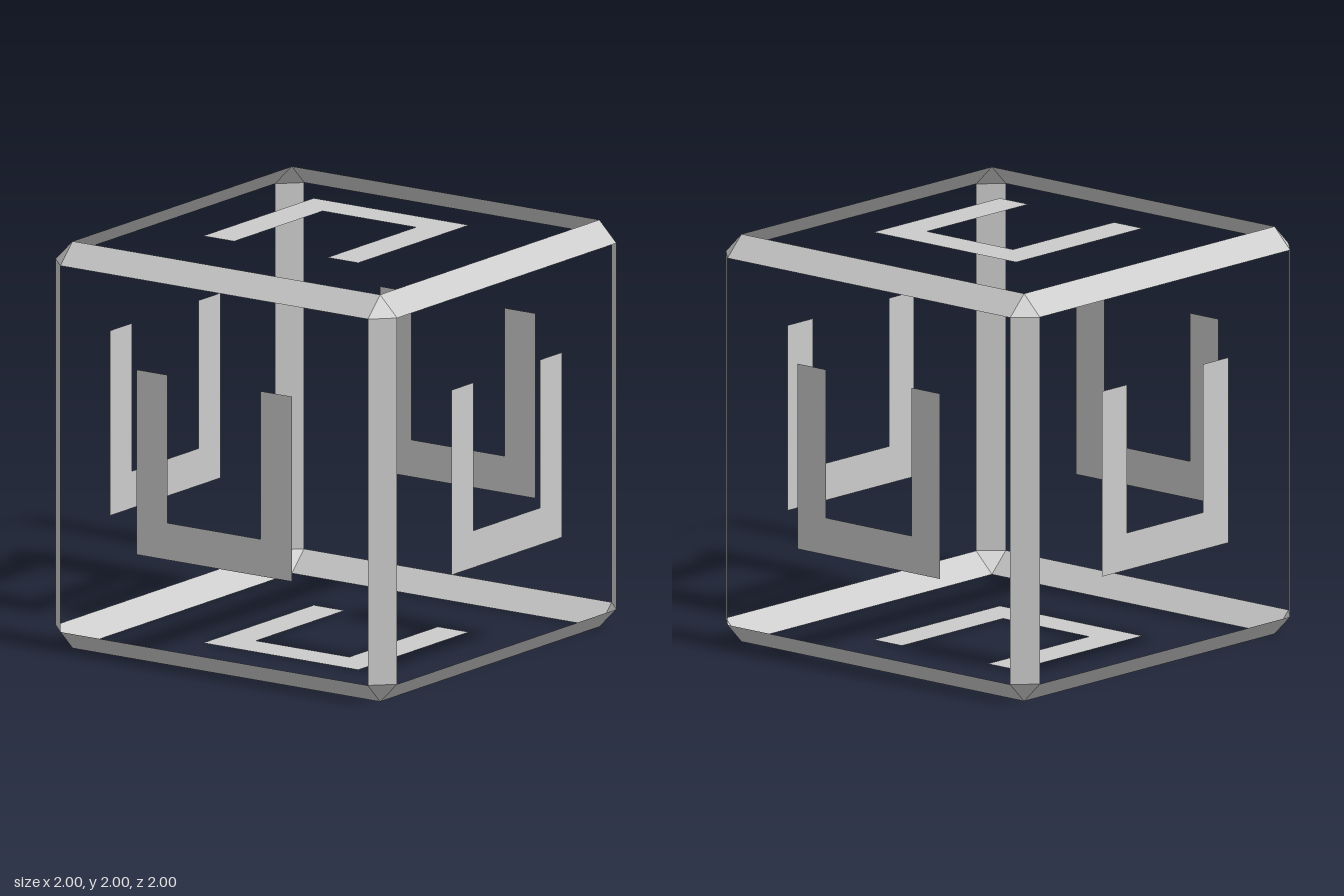
import * as THREE from 'three';

const HALF = 1;        // half the cube's side
const INNER = 0.9;     // where each bevel starts
const OUT = 0.4545;    // half-size of a U panel
const IN = 0.2727;     // half-size of its opening

export function createModel() {
  const model = new THREE.Group();
  const cube = new THREE.Group();
  cube.name = 'cube';
  cube.position.y = HALF;
  model.add(cube);

  const material = new THREE.MeshStandardMaterial({
    color: 0xcccccc, flatShading: true, side: THREE.DoubleSide,
  });
  const add = (name, geometry) => {
    const mesh = new THREE.Mesh(geometry, material);
    mesh.name = name;
    cube.add(mesh);
  };

  // Bevelled edge strips: four around each axis
  const mid = (HALF + INNER) / 2;
  const strip = new THREE.PlaneGeometry(2 * INNER, (HALF - INNER) * Math.SQRT2)
    .rotateX(-Math.PI / 4)
    .translate(0, mid, mid);
  for (let i = 0; i < 4; i++) {
    const alongX = strip.clone().rotateX(i * Math.PI / 2);
    add('edgeStripX', alongX);
    add('edgeStripY', alongX.clone().rotateZ(Math.PI / 2));
    add('edgeStripZ', alongX.clone().rotateY(Math.PI / 2));
  }

  // Corner triangles joining the strips, wound to face outward
  for (const x of [-1, 1]) for (const y of [-1, 1]) for (const z of [-1, 1]) {
    const points = [
      new THREE.Vector3(x * HALF, y * INNER, z * INNER),
      new THREE.Vector3(x * INNER, y * HALF, z * INNER),
      new THREE.Vector3(x * INNER, y * INNER, z * HALF),
    ];
    if (x * y * z < 0) points.reverse();
    const corner = new THREE.BufferGeometry().setFromPoints(points);
    corner.computeVertexNormals();
    add('cornerTriangle', corner);
  }

  // Flat U panel, open toward +y, lying in the front face
  const outline = [
    [-OUT, -OUT], [OUT, -OUT], [OUT, OUT], [IN, OUT],
    [IN, -IN], [-IN, -IN], [-IN, OUT], [-OUT, OUT],
  ].map(([x, y]) => new THREE.Vector2(x, y));
  const panel = new THREE.ShapeGeometry(new THREE.Shape(outline)).translate(0, 0, HALF);

  // Side panels open upward
  ['front', 'left', 'back', 'right'].forEach((side, i) =>
    add(side + 'Panel', panel.clone().rotateY(i * Math.PI / 2)));

  // Top panel opens toward -x, bottom panel toward +x
  add('topPanel', panel.clone().rotateX(-Math.PI / 2).rotateY(Math.PI / 2));
  add('bottomPanel', panel.clone().rotateX(Math.PI / 2).rotateY(Math.PI / 2));

  return model;
}
